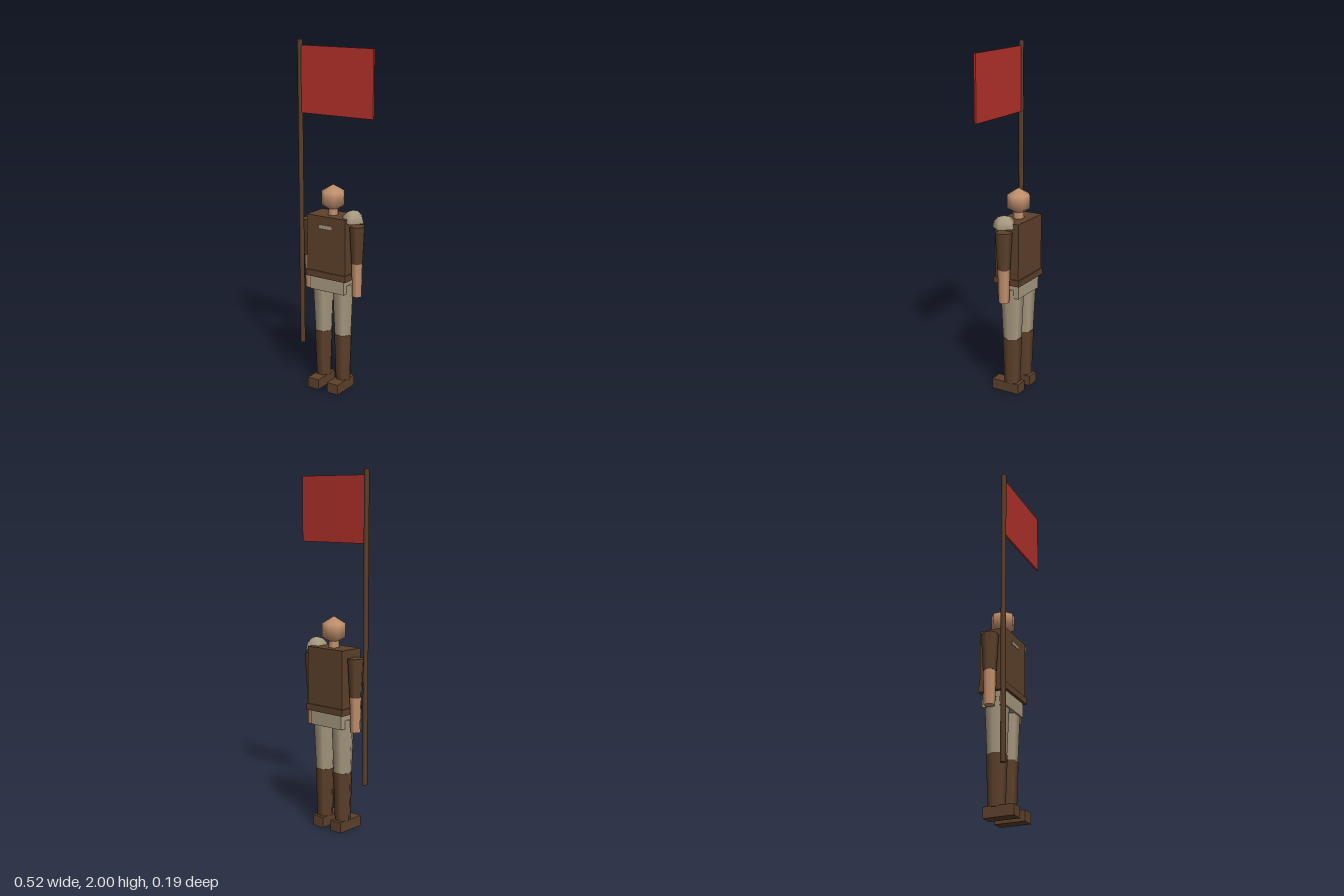
import * as THREE from 'three';

export function createModel() {
  const model = new THREE.Group();
  model.name = 'standardBearer';

  const mat = (name, color, side = THREE.FrontSide) => {
    const m = new THREE.MeshStandardMaterial({ color, side });
    m.name = name;
    return m;
  };
  const leather = mat('brownLeather', 0x5e412b);
  const cloth = mat('tanCloth', 0xa89a80, THREE.DoubleSide);
  const skin = mat('skin', 0xc4926f);
  const red = mat('redFlag', 0xb5322b);

  const add = (name, geometry, material, x, y, z, parent = model) => {
    const mesh = new THREE.Mesh(geometry, material);
    mesh.name = name;
    mesh.position.set(x, y, z);
    parent.add(mesh);
    return mesh;
  };
  // Box given by its extents on each axis
  const box = (name, material, [x0, x1], [y0, y1], [z0, z1], parent) =>
    add(name, new THREE.BoxGeometry(x1 - x0, y1 - y0, z1 - z0), material,
      (x0 + x1) / 2, (y0 + y1) / 2, (z0 + z1) / 2, parent);
  // Upright tapered prism with one corner towards +x
  const limb = (name, material, rTop, rBottom, y0, y1, x, z, sides, parent) =>
    add(name, new THREE.CylinderGeometry(rTop, rBottom, y1 - y0, sides).rotateY(Math.PI / 2),
      material, x, (y0 + y1) / 2, z, parent);

  const cx = -0.052; // middle of the body
  const cz = -0.017;

  // Body
  box('torso', leather, [-0.18, 0.077], [0.675, 1.035], [-0.092, 0.058]);
  box('belt', leather, [-0.186, 0.083], [0.675, 0.712], [-0.099, 0.065]);
  box('pelvis', cloth, [-0.165, 0.061], [0.594, 0.69], [-0.083, 0.05]);
  box('chestBadge', cloth, [-0.094, -0.012], [0.966, 0.985], [0.057, 0.062]);

  // Head and neck
  limb('neck', skin, 0.03, 0.032, 1.03, 1.075, cx, cz, 6);
  add('head', new THREE.SphereGeometry(0.077, 7, 3).rotateY(Math.PI), skin, cx, 1.131, cz);

  // Arms and legs, mirrored about the middle of the body
  for (const [side, s] of [['left', 1], ['right', -1]]) {
    const arm = new THREE.Group();
    arm.name = side + 'Arm';
    model.add(arm);
    const ax = cx + s * 0.16;
    limb('upperArm', leather, 0.048, 0.036, 0.775, 0.99, ax, cz, 6, arm);
    limb('forearm', skin, 0.035, 0.03, 0.58, 0.78, ax, cz, 6, arm);

    const leg = new THREE.Group();
    leg.name = side + 'Leg';
    model.add(leg);
    const lx = cx + s * 0.067;
    limb('thigh', cloth, 0.067, 0.053, 0.335, 0.642, lx, cz, 6, leg);
    limb('shin', leather, 0.056, 0.046, 0.055, 0.337, lx, cz, 6, leg);
    box('boot', leather, [lx - 0.037, lx + 0.037], [0, 0.06], [-0.077, 0.096], leg);
  }

  // Half-dome guard on the left shoulder
  add('shoulderGuard',
    new THREE.SphereGeometry(0.068, 5, 3, 0, Math.PI * 2, 0, Math.PI / 2).rotateY(Math.PI),
    cloth, 0.088, 1.012, -0.009);

  // Flag on its pole
  limb('flagPole', leather, 0.0155, 0.0155, 0.26, 2, -0.2125, 0.062, 5);
  box('flag', red, [-0.203, 0.257], [1.605, 1.97], [0.057, 0.069]);

  return model;
}
